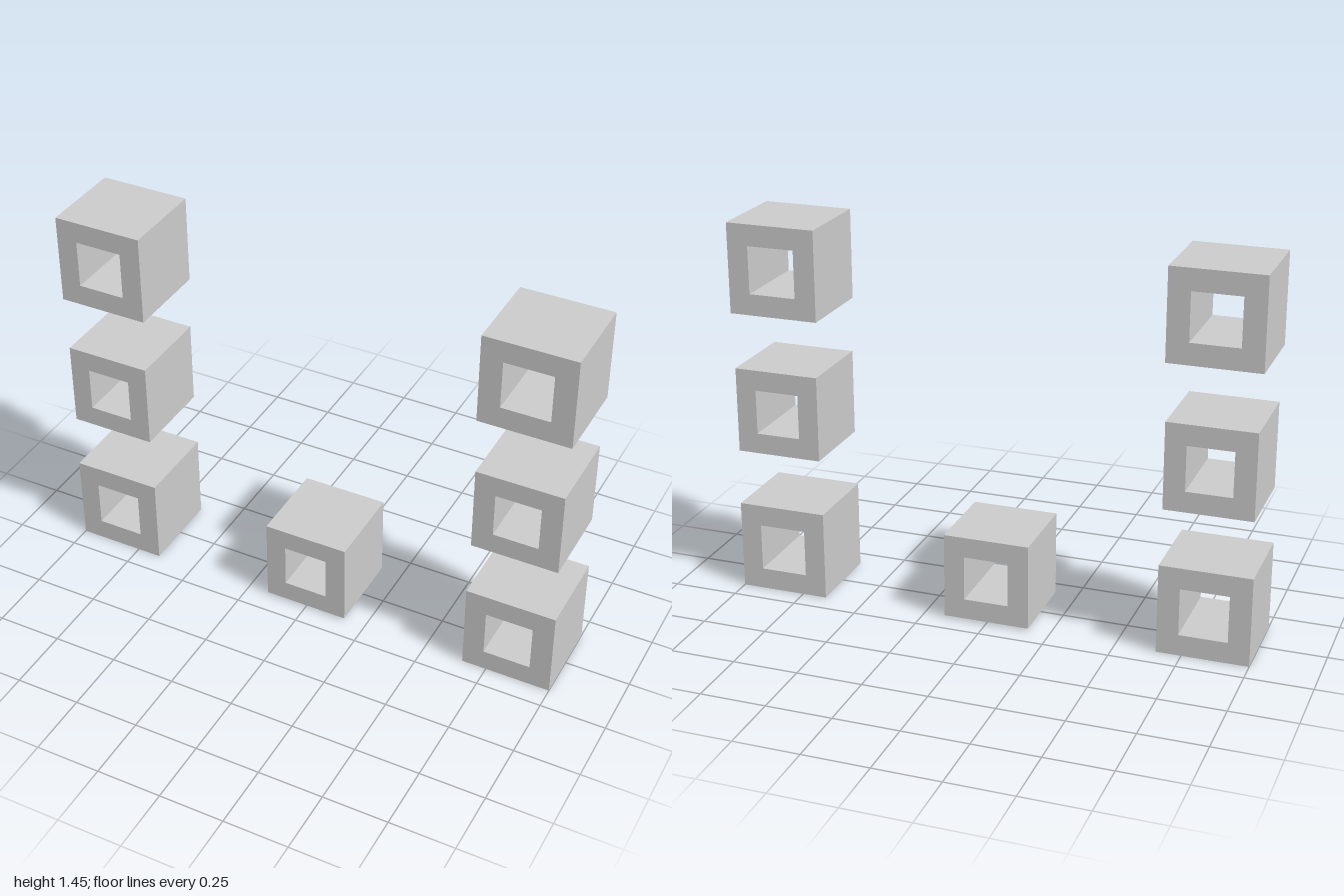
import * as THREE from 'three';

const DEPTH = 0.33;

// Square tube with a square hole running front to back
function squareTube(name, size, hole, x, y, material) {
  const square = (s, Type) => new Type([
    new THREE.Vector2(-s / 2, -s / 2),
    new THREE.Vector2(s / 2, -s / 2),
    new THREE.Vector2(s / 2, s / 2),
    new THREE.Vector2(-s / 2, s / 2),
  ]);
  const shape = square(size, THREE.Shape);
  shape.holes.push(square(hole, THREE.Path));
  const geometry = new THREE.ExtrudeGeometry(shape, { depth: DEPTH, bevelEnabled: false });
  geometry.translate(0, 0, -DEPTH / 2);
  const mesh = new THREE.Mesh(geometry, material);
  mesh.name = name;
  mesh.position.set(x, y, 0);
  return mesh;
}

export function createModel() {
  const group = new THREE.Group();
  group.name = 'squareTubes';
  const material = new THREE.MeshStandardMaterial({ color: 0xcccccc });

  // Mirrored columns of three tubes, the middle one slightly smaller
  const rows = [
    ['LowerTube', 0.345, 0.182, 0.1725],
    ['MiddleTube', 0.33, 0.172, 0.728],
    ['UpperTube', 0.345, 0.182, 1.28],
  ];
  for (const [side, sign] of [['left', 1], ['right', -1]]) {
    for (const [name, size, hole, y] of rows) {
      group.add(squareTube(side + name, size, hole, sign * 0.8275, y, material));
    }
  }

  // Single tube between the columns
  group.add(squareTube('centreTube', 0.33, 0.172, 0, 0.173, material));
  return group;
}
